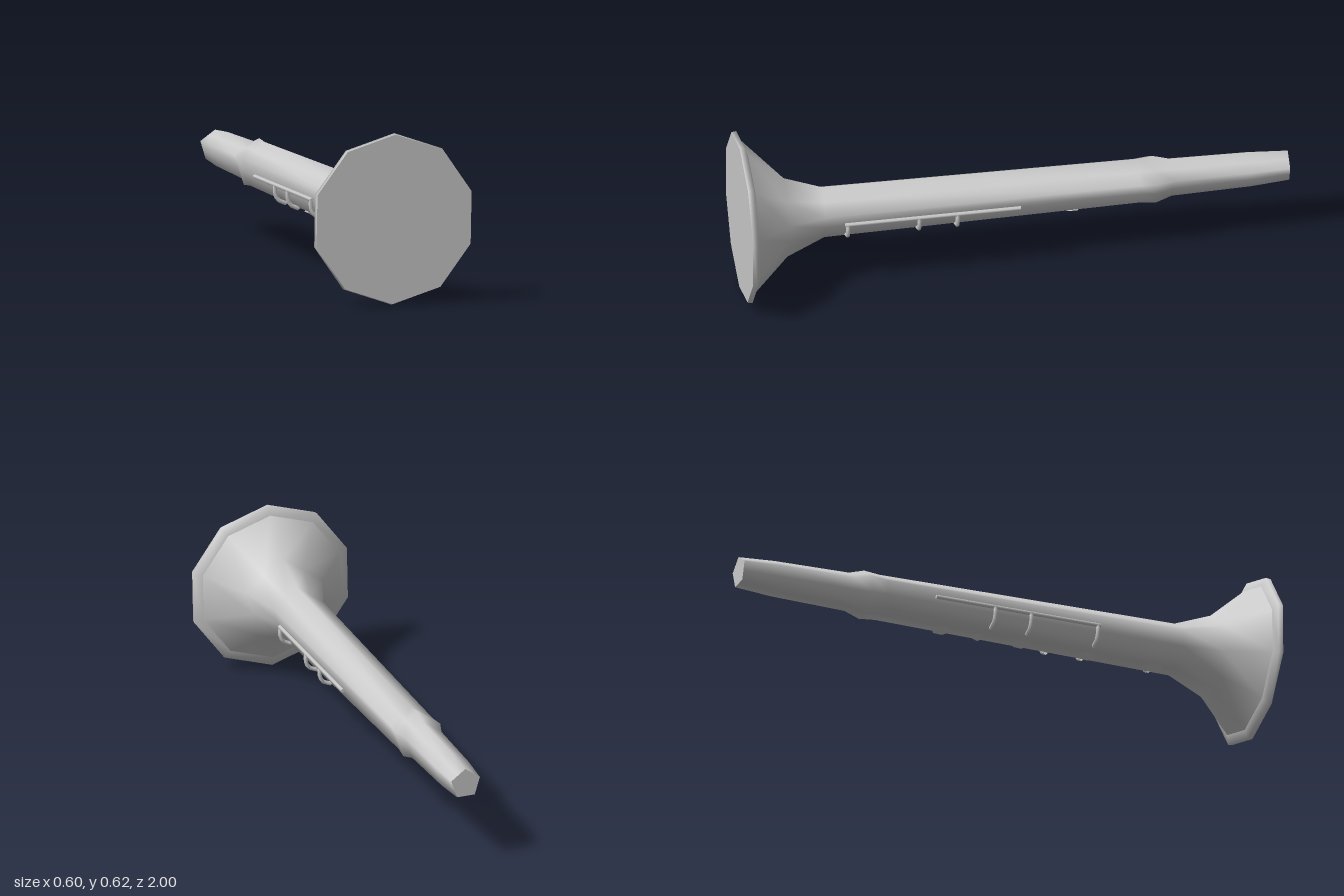
import * as THREE from 'three';

const AXIS_Y = 0.313, SIDES = 10, START = Math.PI / 2 - 0.02;
const PENT = Math.cos(Math.PI / 5); // edge midpoints of a five-sided section

// z, radius, edge midpoint factor: five-sided tube opening into a ten-sided bell
const sections = [
  [-1, 0.058, PENT], [-0.86, 0.068, PENT], [-0.57, 0.074, PENT],
  [-0.51, 0.093, PENT], [-0.45, 0.087, PENT], [0.7, 0.1, PENT],
  [0.84, 0.157, PENT], [0.97, 0.277, 1], [0.982, 0.311, 1], [1, 0.308, 1],
];

export function createModel() {
  const model = new THREE.Group();
  const material = new THREE.MeshStandardMaterial({ color: 0xcccccc, side: THREE.DoubleSide });
  const add = (name, geometry, parent = model) => {
    const mesh = new THREE.Mesh(geometry, material);
    mesh.name = name;
    parent.add(mesh);
    return mesh;
  };

  // Tube and bell, lofted through the sections
  const loft = (rows) => {
    const positions = [], index = [];
    rows.forEach(([z, radius, flat], r) => {
      for (let i = 0; i < SIDES; i++) {
        const a = START + (i / SIDES) * Math.PI * 2;
        const d = radius * (i % 2 ? flat : 1);
        positions.push(Math.cos(a) * d, AXIS_Y + Math.sin(a) * d, z);
        if (r === rows.length - 1) continue;
        const p = r * SIDES + i, q = r * SIDES + (i + 1) % SIDES;
        index.push(p, q, q + SIDES, p, q + SIDES, p + SIDES);
      }
    });
    const g = new THREE.BufferGeometry();
    g.setAttribute('position', new THREE.Float32BufferAttribute(positions, 3));
    g.setIndex(index);
    g.computeVertexNormals();
    return g;
  };
  add('tubeAndBell', loft(sections.slice(0, 8)));
  add('bellRim', loft(sections.slice(7)));

  // Closed ends
  add('bellFace', new THREE.CircleGeometry(0.308, SIDES, START)).position.set(0, AXIS_Y, 1);
  const mouth = add('mouthEnd', new THREE.CircleGeometry(0.058, 5, Math.PI / 2 + 0.02));
  mouth.rotation.y = Math.PI;
  mouth.position.set(0, AXIS_Y, -1);

  // Side key rods, each held by three curved brackets
  const bracketCurve = new THREE.CatmullRomCurve3([
    [0.097, 0.305], [0.1, 0.28], [0.088, 0.25], [0.056, 0.235],
  ].map(([x, y]) => new THREE.Vector3(x, y, 0)));
  const bracket = new THREE.TubeGeometry(bracketCurve, 6, 0.008, 5);
  const rod = new THREE.CylinderGeometry(0.008, 0.008, 0.64, 6).rotateX(Math.PI / 2);
  for (const [name, side, front] of [['leftKeyRod', 1, 0.63], ['rightKeyRod', -1, 0.37]]) {
    const keys = new THREE.Group();
    keys.name = name;
    keys.scale.x = side;
    add('rod', rod, keys).position.set(0.097, 0.303, front - 0.32);
    for (const offset of [0.01, 0.27, 0.41]) {
      add('bracket', bracket, keys).position.z = front - offset;
    }
    model.add(keys);
  }

  // Pointed key pads under the tube
  for (const [z, radius] of [[0.615, 0.036], [0.36, 0.036], [0.1, 0.036], [-0.07, 0.025], [-0.21, 0.038]]) {
    const pad = add('keyPad', new THREE.ConeGeometry(radius, 0.018, 6).rotateX(Math.PI));
    pad.position.set(0, 0.213, z);
  }
  return model;
}
